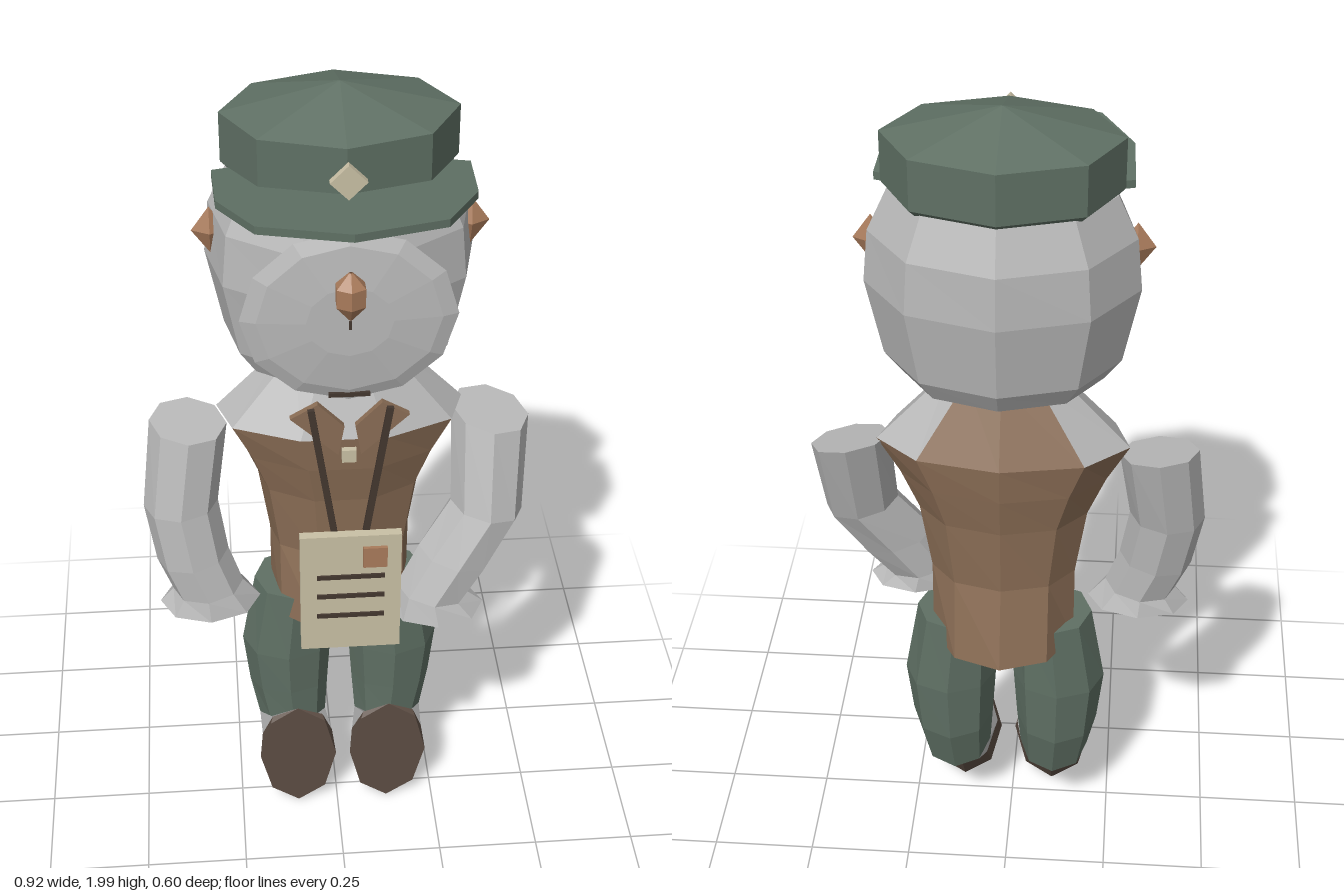
import * as THREE from 'three';

const CX = 0.015; // the figure's own centre line

const paint = (name, color) => {
  const m = new THREE.MeshStandardMaterial({ color, flatShading: true, side: THREE.DoubleSide });
  m.name = name;
  return m;
};

// Ring of n points: centre, half width along x, vector to its back point, sideways slope
const ring = (x, y, z, rx, vz, vy = 0, slope = 0) => ({ x, y, z, rx, vz: -vz, vy, slope });
const ringPoint = (r, i, n) => {
  const a = (i % n) / n * Math.PI * 2, s = Math.sin(a), c = Math.cos(a);
  return [r.x + r.rx * s, r.y + r.vy * c + r.slope * r.rx * s, r.z + r.vz * c];
};

// Skin through rings listed bottom to top; "keep" selects faces by band and side
function loft(rings, n, { bottom = false, top = false, keep = () => true } = {}) {
  const p = [];
  for (let j = 0; j < rings.length - 1; j++) {
    for (let i = 0; i < n; i++) {
      if (!keep(j, i)) continue;
      const a = ringPoint(rings[j], i, n), b = ringPoint(rings[j], i + 1, n);
      const c = ringPoint(rings[j + 1], i + 1, n), d = ringPoint(rings[j + 1], i, n);
      p.push(...a, ...d, ...c, ...a, ...c, ...b);
    }
  }
  const cap = (r, up) => {
    for (let i = 0; i < n; i++) {
      const a = ringPoint(r, i, n), b = ringPoint(r, i + 1, n), m = [r.x, r.y, r.z];
      p.push(...m, ...(up ? b : a), ...(up ? a : b));
    }
  };
  if (bottom) cap(rings[0], false);
  if (top) cap(rings[rings.length - 1], true);
  const g = new THREE.BufferGeometry();
  g.setAttribute('position', new THREE.Float32BufferAttribute(p, 3));
  g.computeVertexNormals();
  return g;
}

export function createModel() {
  const grey = paint('pale grey', 0xb9b9b9);
  const green = paint('uniform green', 0x5f7064);
  const brown = paint('vest brown', 0x8a6d55);
  const dark = paint('sole brown', 0x5e4f45);
  const tan = paint('copper tan', 0xa97b5b);
  const cream = paint('paper cream', 0xc9c0a5);
  const ink = paint('dark ink', 0x43372f);

  const model = new THREE.Group();
  const add = (name, geo, mat, x = 0, y = 0, z = 0) => {
    const m = new THREE.Mesh(geo, mat);
    m.name = name;
    m.position.set(x, y, z);
    model.add(m);
    return m;
  };
  const box = (name, mat, w, h, d, x, y, z) => add(name, new THREE.BoxGeometry(w, h, d), mat, x, y, z);

  // Head and shallow domed face
  add('head', loft([
    ring(CX, 1.365, -0.055, 0.225, 0.18), ring(CX, 1.42, -0.06, 0.265, 0.21),
    ring(CX, 1.6, -0.06, 0.302, 0.24), ring(CX, 1.72, -0.06, 0.29, 0.235),
    ring(CX, 1.815, -0.06, 0.245, 0.2),
  ], 9, { bottom: true, top: true }), grey);
  add('face', loft([[0.4, 0.2], [0.85, 0.19], [1, 0.178]].map(
    ([k, z]) => ring(CX, 1.585, z, 0.232 * k, 0, -0.207 * k)), 12, { bottom: true }), grey);

  // Nose, nose line, mouth and pointed ears
  add('nose', loft([
    ring(CX, 1.6, 0.212, 0.004, 0.004), ring(CX, 1.637, 0.212, 0.035, 0.031),
    ring(CX, 1.68, 0.212, 0.035, 0.031), ring(CX, 1.712, 0.212, 0.004, 0.004),
  ], 6), tan);
  box('noseLine', ink, 0.006, 0.02, 0.005, CX, 1.58, 0.203);
  box('mouth', ink, 0.09, 0.01, 0.008, CX, 1.396, 0.186);
  for (const s of [-1, 1]) {
    const ear = add('ear', new THREE.OctahedronGeometry(1), tan, CX + s * 0.284, 1.677, -0.052);
    ear.scale.set(0.04, 0.056, 0.022);
  }

  // Cap crown, visor and badge
  add('capCrown', loft([
    ring(CX, 1.81, -0.08, 0.24, 0.175), ring(CX, 1.825, -0.08, 0.255, 0.19),
    ring(CX, 1.938, -0.08, 0.255, 0.19), ring(CX, 2, -0.08, 0.001, 0.001),
  ], 8, { bottom: true }), green);
  const outline = [[-0.275, -0.04], [-0.27, 0.115], [-0.195, 0.245], [0, 0.3],
    [0.195, 0.245], [0.27, 0.115], [0.275, -0.04], [0.2, -0.06], [-0.2, -0.06]];
  const visorGeo = new THREE.ExtrudeGeometry(
    new THREE.Shape(outline.map(([x, z]) => new THREE.Vector2(x, -z))), { depth: 0.018, bevelEnabled: false });
  visorGeo.rotateX(-Math.PI / 2);
  const vp = visorGeo.attributes.position;
  for (let i = 0; i < vp.count; i++) vp.setY(i, vp.getY(i) + 1.806 + 0.07 * (vp.getZ(i) + 0.06));
  visorGeo.computeVertexNormals();
  add('capVisor', visorGeo, green, CX);
  box('capBadge', cream, 0.055, 0.055, 0.017, CX, 1.887, 0.15).rotation.z = Math.PI / 4;

  // Vest rises to the neck over the two back panels; the rest of the yoke is shirt
  const torso = [
    ring(CX, 0.63, -0.07, 0.172, 0.165), ring(CX, 0.83, -0.07, 0.172, 0.115),
    ring(CX, 1.0, -0.07, 0.198, 0.122), ring(CX, 1.1, -0.07, 0.24, 0.138),
    ring(CX, 1.19, -0.07, 0.292, 0.146), ring(CX, 1.37, -0.07, 0.12, 0.07),
  ];
  const isShirt = (j, i) => j === 4 && i > 0 && i < 8;
  add('vest', loft(torso, 9, { bottom: true, keep: (j, i) => !isShirt(j, i) }), brown);
  add('shirtYoke', loft(torso, 9, { top: true, keep: isShirt }), grey);

  // Collar wings, button and satchel straps
  for (const s of [-1, 1]) {
    const wing = new THREE.Shape([[0.07, 1.385], [0.13, 1.35], [0.025, 1.25], [0.012, 1.325]]
      .map(([x, y]) => new THREE.Vector2(s * x, y)));
    add('collarWing', new THREE.ExtrudeGeometry(wing, { depth: 0.015, bevelEnabled: false }), brown, CX, 0, 0.192);
    const strap = box('strap', ink, 0.015, 0.337, 0.01, CX + s * 0.061, 1.218, 0.225);
    strap.rotation.z = -s * 0.148;
  }
  box('collarButton', cream, 0.032, 0.032, 0.014, CX, 1.237, 0.19);

  // Hanging letter with stamp and ruled lines
  box('letter', cream, 0.23, 0.33, 0.022, CX, 0.89, 0.24);
  box('stamp', tan, 0.055, 0.055, 0.009, 0.07, 0.997, 0.255);
  for (const y of [0.94, 0.884, 0.826]) box('writtenLine', ink, 0.155, 0.011, 0.005, CX, y, 0.253);

  // Arms: [x, y, z, rx, rz, back tilt, side slope], flared cuff first
  const arms = {
    leftArm: [[0.237, 0.685, 0.06, 0.118, 0.09, 0.005, -0.02], [0.228, 0.73, 0.055, 0.085, 0.078, 0, -0.2],
      [0.285, 0.82, 0.035, 0.088, 0.078, 0, -0.3], [0.36, 0.94, 0.005, 0.086, 0.08, 0, -0.2],
      [0.368, 1.165, -0.065, 0.092, 0.082, 0.015, -0.2]],
    rightArm: [[-0.308, 0.685, 0.0, 0.122, 0.09, 0.005, 0.02], [-0.312, 0.73, 0.0, 0.085, 0.078, 0, 0.1],
      [-0.345, 0.82, -0.01, 0.086, 0.08, 0, 0.15], [-0.367, 0.96, -0.03, 0.088, 0.08, 0, 0.05],
      [-0.34, 1.165, -0.07, 0.09, 0.082, 0.012, -0.1]],
  };
  for (const [name, rows] of Object.entries(arms)) {
    const rings = rows.map(([x, y, z, rx, rz, vy, slope]) => ring(x, y, z, rx, rz, vy, slope));
    add(name, loft(rings, 8, { top: true }), grey);
    add(name + 'Cuff', loft(rings.slice(0, 1), 8, { bottom: true }), brown);
  }

  // Legs with feet hanging down, soles facing forward
  for (const [side, x, s] of [['left', 0.13, 1], ['right', -0.102, -1]]) {
    const sole = ring(x, 0.182, 0.057, 0.098, 0.007, -0.172);
    const heel = ring(x, 0.232, 0.022, 0.09, 0.042, -0.122);
    const ankle = ring(x + s * 0.008, 0.24, -0.052, 0.085, 0.072, -0.04);
    add(side + 'Sole', loft([sole, heel], 8, { bottom: true }), dark);
    add(side + 'Foot', loft([heel, ankle], 8), grey);
    add(side + 'Leg', loft([
      ankle, ring(x + s * 0.015, 0.35, -0.068, 0.1, 0.092, -0.02),
      ring(x + s * 0.018, 0.49, -0.07, 0.112, 0.1), ring(x, 0.69, -0.067, 0.095, 0.097),
    ], 8, { top: true }), green);
  }
  return model;
}
